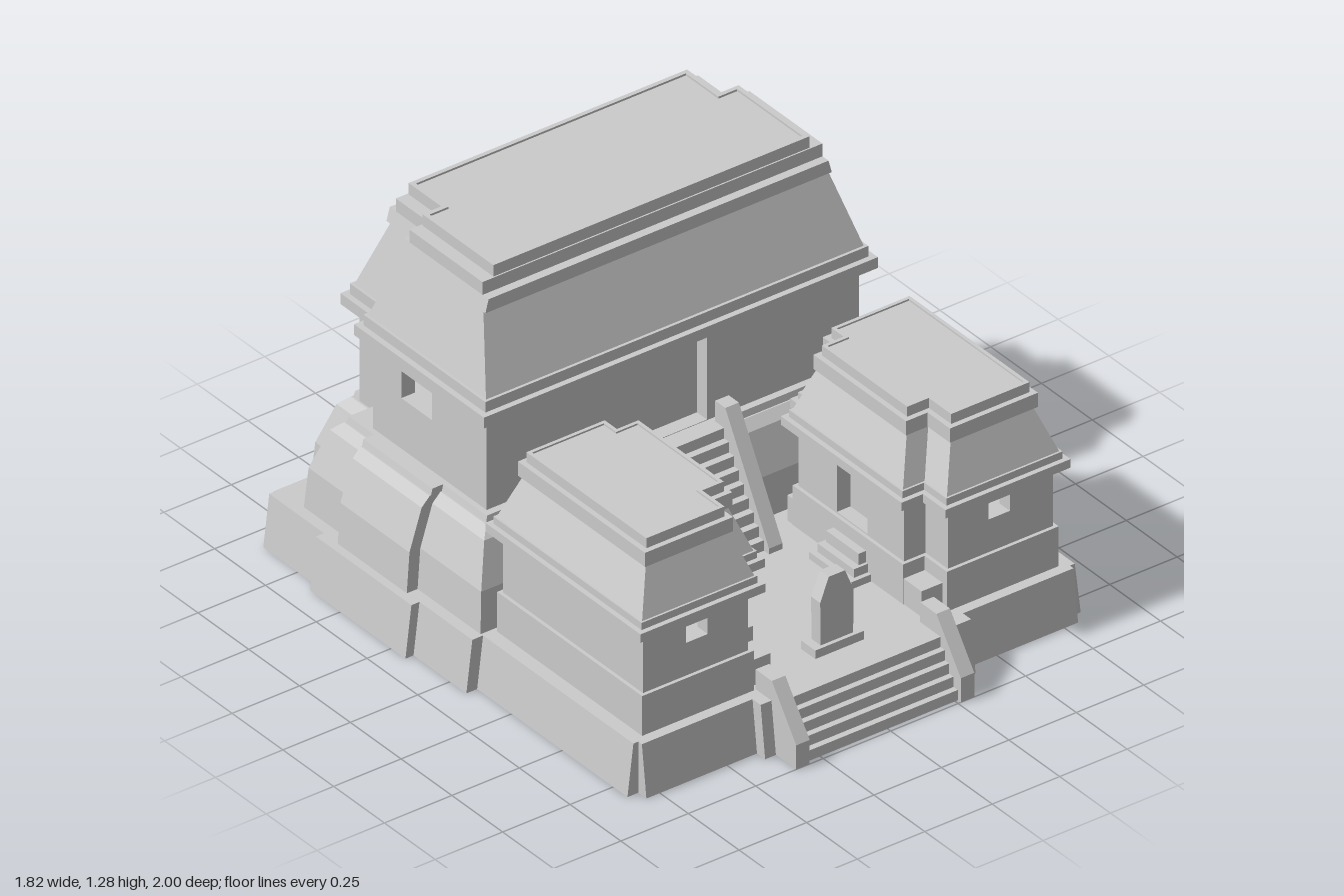
import * as THREE from 'three';
import { mergeGeometries } from 'three/addons/utils/BufferGeometryUtils.js';

const material = new THREE.MeshStandardMaterial({ color: 0xcccccc, flatShading: true });
const shellMaterial = new THREE.MeshStandardMaterial({ color: 0xcccccc, flatShading: true, side: THREE.DoubleSide });

function add(parent, name, geometry, mat = material) {
  const mesh = new THREE.Mesh(geometry, mat);
  mesh.name = name;
  parent.add(mesh);
}

function fromTriangles(pos) {
  const g = new THREE.BufferGeometry();
  g.setAttribute('position', new THREE.Float32BufferAttribute(pos, 3));
  g.computeVertexNormals();
  return g;
}

// Plan outlines are [x, z] corners running front-left, front-right, back-right, back-left.
const symmetric = (half, cx = 0) => [
  ...half.map(([x, z]) => [cx + x, z]),
  ...[...half].reverse().map(([x, z]) => [cx - x, z]),
];

// Push the sides of a right-angled outline outward by dx and dz; short jogs keep their place.
function offset(outline, dx, dz) {
  const n = outline.length;
  const push = (i) => {
    const [ax, az] = outline[(i + n) % n], [bx, bz] = outline[(i + 1) % n];
    if (Math.hypot(bx - ax, bz - az) < 0.06) return [0, 0];
    return [-Math.sign(bz - az) * dx, Math.sign(bx - ax) * dz];
  };
  return outline.map(([x, z], i) => {
    const a = push(i - 1), b = push(i);
    return [x + a[0] + b[0], z + a[1] + b[1]];
  });
}

// Stack offset copies of an outline, profile = [[y, dx, dz = dx], ...], with caps.
function loft(outline, profile, openBottom = false) {
  const rings = profile.map(([y, dx, dz = dx]) => offset(outline, dx, dz).map(([x, z]) => [x, y, z]));
  const n = outline.length, pos = [];
  for (let r = 0; r + 1 < rings.length; r++) {
    for (let i = 0; i < n; i++) {
      const j = (i + 1) % n;
      const a = rings[r][i], b = rings[r][j], c = rings[r + 1][j], d = rings[r + 1][i];
      pos.push(...a, ...b, ...c, ...a, ...c, ...d);
    }
  }
  const cap = (ring, up) => {
    const flat = ring.map((p) => new THREE.Vector2(p[0], -p[2]));
    for (const [a, b, c] of THREE.ShapeUtils.triangulateShape(flat, [])) {
      pos.push(...ring[a], ...ring[up ? b : c], ...ring[up ? c : b]);
    }
  };
  if (!openBottom) cap(rings[0], false);
  cap(rings[rings.length - 1], true);
  return fromTriangles(pos);
}

// Wall faces along an outline, with jambs in the openings { edge: [u0, u1, y0, y1] }.
function walls(outline, y0, y1, openings) {
  const depth = 0.05;
  const rect = (u0, u1, v0, v1) => [[u0, v0], [u1, v0], [u1, v1], [u0, v1]];
  const vectors = (points) => points.map((p) => new THREE.Vector2(...p));
  return mergeGeometries(outline.map(([ax, az], i) => {
    const [bx, bz] = outline[(i + 1) % outline.length];
    const shape = new THREE.Shape(vectors(rect(0, Math.hypot(bx - ax, bz - az), y0, y1)));
    const corners = openings[i] ? rect(...openings[i]) : [];
    if (openings[i]) shape.holes.push(new THREE.Path(vectors(corners)));
    const pos = [...new THREE.ShapeGeometry(shape).toNonIndexed().attributes.position.array];
    corners.forEach((p, k) => {
      const q = corners[(k + 1) % 4];
      pos.push(...p, 0, ...q, 0, ...q, -depth, ...p, 0, ...q, -depth, ...p, -depth);
    });
    return fromTriangles(pos).rotateY(Math.atan2(az - bz, bx - ax)).translate(ax, 0, az);
  }));
}

const box = (x0, x1, y0, y1, z0, z1) => new THREE.BoxGeometry(x1 - x0, y1 - y0, z1 - z0)
  .translate((x0 + x1) / 2, (y0 + y1) / 2, (z0 + z1) / 2);

// Side profile of [z, y] points given thickness from x0 to x1.
function sideSlab(points, x0, x1) {
  const shape = new THREE.Shape(points.map(([z, y]) => new THREE.Vector2(-z, y)));
  return new THREE.ExtrudeGeometry(shape, { depth: x1 - x0, bevelEnabled: false })
    .rotateY(Math.PI / 2).translate(x0, 0, 0);
}

// Reflect a geometry across x = 0, keeping faces outward.
function mirror(geometry) {
  const g = geometry.index ? geometry.toNonIndexed() : geometry.clone();
  g.scale(-1, 1, 1);
  const p = g.attributes.position, a = new THREE.Vector3(), b = new THREE.Vector3();
  for (let i = 0; i < p.count; i += 3) {
    a.fromBufferAttribute(p, i + 1);
    b.fromBufferAttribute(p, i + 2);
    p.setXYZ(i + 1, b.x, b.y, b.z);
    p.setXYZ(i + 2, a.x, a.y, a.z);
  }
  g.computeVertexNormals();
  return g;
}

// A flight of solid steps climbing toward -z.
function stairs(n, x0, x1, y0, y1, zFront, zBack) {
  const steps = [];
  for (let i = 0; i < n; i++) {
    const z = zFront + (zBack - zFront) * i / n;
    steps.push(box(x0, x1, y0, y0 + (y1 - y0) * (i + 1) / n, zBack - 0.02, z));
  }
  return mergeGeometries(steps);
}

export function createModel() {
  const model = new THREE.Group();
  model.name = 'templeComplex';

  // Lower platform, hollow underneath, and rounded rear terrace
  const base = symmetric([[0.39, 0.9], [0.39, 0.86], [0.8, 0.86], [0.8, 0.82], [0.84, 0.82], [0.84, 0.08],
    [0.88, 0.08], [0.88, -0.18], [0.91, -0.18], [0.91, -0.65], [0.88, -0.65], [0.88, -0.92],
    [0.84, -0.92], [0.84, -0.945], [0.37, -0.945], [0.37, -1]]);
  add(model, 'platform', loft(base, [[0, 0], [0.18, -0.022]], true), shellMaterial);
  const terrace = symmetric([[0.82, 0.07], [0.82, -0.24], [0.86, -0.24], [0.86, -0.58], [0.82, -0.58],
    [0.82, -0.8], [0.72, -0.8], [0.72, -0.9], [0.32, -0.9], [0.32, -0.95]]);
  add(model, 'terrace', loft(terrace, [[0.18, 0], [0.32, -0.01], [0.46, -0.055], [0.49, -0.085],
    [0.49, -0.09], [0.512, -0.095]]));

  // Main hall with doorway, side windows and stepped roof
  const hall = new THREE.Group();
  hall.name = 'mainHall';
  model.add(hall);
  const plan = symmetric([[0.69, -0.05], [0.69, -0.61], [0.62, -0.61], [0.62, -0.77]], -0.017);
  add(hall, 'hallWalls', walls(plan, 0.5, 0.845, {
    0: [0.27, 0.42, 0.69, 0.785],
    6: [0.14, 0.29, 0.69, 0.785],
    7: [0.567, 0.817, 0.514, 0.835],
  }));
  add(hall, 'doorPanel', box(-0.16, 0.13, 0.5, 0.84, -0.12, -0.1));
  add(hall, 'hallRoof', loft(plan, [[0.835, 0], [0.835, 0.04], [0.873, 0.04], [0.873, 0.02], [0.91, 0.02],
    [0.91, 0.01], [1.15, -0.052, -0.085], [1.15, -0.048, -0.07], [1.195, -0.06, -0.07],
    [1.195, -0.06, -0.1], [1.24, -0.06, -0.1], [1.24, -0.104, -0.105], [1.28, -0.104, -0.105],
    [1.28, -0.12], [1.273, -0.12]]));

  // Two facing side pavilions with cheek blocks beside their entry steps
  const wing = [[0.37, 0.79], [0.76, 0.79], [0.76, 0.1], [0.37, 0.1],
    [0.37, 0.16], [0.29, 0.16], [0.29, 0.68], [0.37, 0.68]];
  const wingParts = {
    Plinth: loft(wing, [[0.18, 0.012], [0.32, 0.012]]),
    Walls: walls(wing, 0.31, 0.54, { 0: [0.15, 0.23, 0.435, 0.492], 5: [0.19, 0.34, 0.325, 0.525] }),
    DoorPanel: box(0.34, 0.36, 0.31, 0.54, 0.33, 0.52),
    Roof: loft(wing, [[0.53, 0], [0.53, 0.037], [0.56, 0.037], [0.56, 0.02], [0.585, 0.02], [0.585, 0.013],
      [0.735, -0.043], [0.735, -0.032], [0.785, -0.032], [0.785, -0.05], [0.82, -0.05],
      [0.82, -0.062], [0.814, -0.062]]),
    Steps: mergeGeometries([box(0.205, 0.3, 0.18, 0.205, 0.325, 0.535),
      box(0.225, 0.3, 0.18, 0.235, 0.34, 0.52), box(0.25, 0.3, 0.18, 0.275, 0.35, 0.51)]),
    Cheeks: mergeGeometries([box(0.28, 0.38, 0.18, 0.27, 0.12, 0.23), box(0.28, 0.38, 0.18, 0.27, 0.63, 0.78)]),
  };
  for (const side of ['left', 'right']) {
    const group = new THREE.Group();
    group.name = side + 'Pavilion';
    model.add(group);
    for (const [part, geometry] of Object.entries(wingParts)) {
      add(group, 'pavilion' + part, side === 'left' ? geometry : mirror(geometry));
    }
  }

  // Front stair and its cheek walls
  add(model, 'frontStairs', stairs(5, -0.3, 0.26, 0, 0.18, 0.985, 0.88));
  const frontCheek = [[1, 0], [1, 0.085], [0.88, 0.25], [0.8, 0.25], [0.8, 0.18], [0.87, 0.18], [0.87, 0]];
  for (const x of [-0.35, 0.26]) add(model, 'frontStairWall', sideSlab(frontCheek, x, x + 0.05));

  // Upper stair to the hall and its balustrades
  add(model, 'upperStairs', stairs(9, -0.16, 0.13, 0.18, 0.512, 0.21, -0.01));
  const balustrade = [[0.235, 0.18], [0.235, 0.2], [0.02, 0.585], [-0.03, 0.585], [-0.03, 0.18]];
  for (const x of [-0.21, 0.125]) add(model, 'upperBalustrade', sideSlab(balustrade, x, x + 0.05));

  // Standing stone in the courtyard
  add(model, 'stoneBase', box(-0.11, 0.07, 0.18, 0.21, 0.705, 0.775));
  const stone = new THREE.Shape([[-0.08, 0.2], [0.04, 0.2], [0.042, 0.36], [0.01, 0.44], [-0.05, 0.44], [-0.082, 0.36]]
    .map((p) => new THREE.Vector2(...p)));
  add(model, 'standingStone', new THREE.ExtrudeGeometry(stone, { depth: 0.045, bevelEnabled: false })
    .translate(0, 0, 0.717));
  return model;
}
